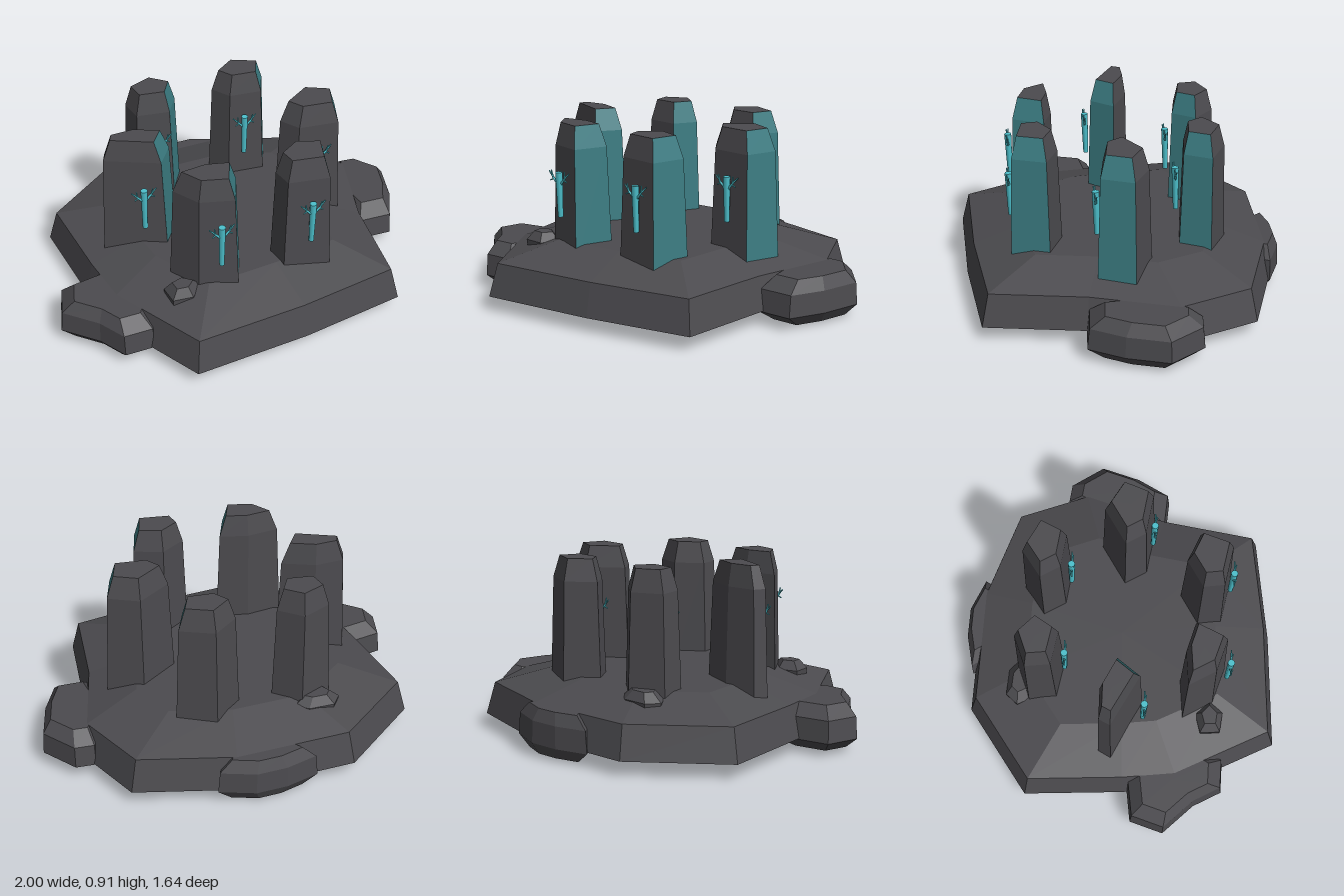
import * as THREE from 'three';

const stone = new THREE.MeshStandardMaterial({ color: 0x4c4b4f });
stone.name = 'dark stone';
const teal = new THREE.MeshStandardMaterial({ color: 0x3c7d83 });
teal.name = 'teal face';
const glow = new THREE.MeshStandardMaterial({ color: 0x4cc0cc });
glow.name = 'bright teal';

// Faceted solid: an outline [x, z] scaled about its centre at rings of [y, scale].
// Triangles are written one side at a time, so each side can be its own group.
function loft(outline, rings) {
  const n = outline.length;
  const cx = outline.reduce((s, p) => s + p[0], 0) / n;
  const cz = outline.reduce((s, p) => s + p[1], 0) / n;
  const at = (i, [y, s]) => {
    const [x, z] = outline[i % n];
    return [cx + (x - cx) * s, y, cz + (z - cz) * s];
  };
  const pos = [];
  for (let i = 0; i < n; i++) {
    for (let r = 0; r < rings.length - 1; r++) {
      const a = at(i, rings[r]), b = at(i + 1, rings[r]);
      const c = at(i + 1, rings[r + 1]), d = at(i, rings[r + 1]);
      pos.push(...a, ...b, ...c, ...a, ...c, ...d);
    }
  }
  const low = rings[0], high = rings[rings.length - 1];
  for (let i = 0; i < n; i++) {
    pos.push(cx, high[0], cz, ...at(i, high), ...at(i + 1, high));
    pos.push(cx, low[0], cz, ...at(i + 1, low), ...at(i, low));
  }
  const g = new THREE.BufferGeometry();
  g.setAttribute('position', new THREE.Float32BufferAttribute(pos, 3));
  g.computeVertexNormals();
  return g;
}

function add(parent, name, geometry, material) {
  const m = new THREE.Mesh(geometry, material);
  m.name = name;
  parent.add(m);
  return m;
}

// Tapered round rod between two points
function rod(parent, name, from, to, r0, r1) {
  const a = new THREE.Vector3(...from), b = new THREE.Vector3(...to);
  const d = b.clone().sub(a);
  const m = add(parent, name, new THREE.CylinderGeometry(r1, r0, d.length(), 8), glow);
  m.position.copy(a).add(b).multiplyScalar(0.5);
  m.quaternion.setFromUnitVectors(new THREE.Vector3(0, 1, 0), d.normalize());
}

// Small tree emblem: a trunk with forked branches on both sides
function treeEmblem(x, z) {
  const g = new THREE.Group();
  g.name = 'treeEmblem';
  rod(g, 'trunk', [0, 0.46, 0], [0, 0.685, 0.006], 0.013, 0.018);
  for (const s of [-1, 1]) {
    rod(g, 'branch', [0, 0.615, 0.004], [s * 0.04, 0.66, 0.008], 0.007, 0.005);
    rod(g, 'twig', [s * 0.036, 0.655, 0.008], [s * 0.042, 0.692, 0.014], 0.005, 0.003);
    rod(g, 'twig', [s * 0.034, 0.655, 0.008], [s * 0.064, 0.685, 0.004], 0.005, 0.003);
    rod(g, 'twig', [s * 0.03, 0.65, 0.008], [s * 0.052, 0.64, 0.01], 0.004, 0.003);
  }
  g.position.set(x, 0, z);
  return g;
}

// Footprints start with the side that is painted teal
const pillars = [
  { emblem: [-0.265, -0.272], foot: [[-0.19, -0.28], [-0.11, -0.41], [-0.23, -0.52], [-0.40, -0.45], [-0.38, -0.31]] },
  { emblem: [0.205, -0.272], foot: [[0.32, -0.28], [0.39, -0.43], [0.21, -0.52], [0.06, -0.41], [0.13, -0.30]] },
  { emblem: [-0.5, 0.135], foot: [[-0.385, 0.13], [-0.29, 0], [-0.47, -0.085], [-0.64, -0.08], [-0.67, -0.015]] },
  { emblem: [0.44, 0.135], foot: [[0.56, 0.14], [0.625, -0.04], [0.46, -0.13], [0.26, 0], [0.33, 0.11]] },
  { emblem: [-0.265, 0.545], foot: [[-0.175, 0.54], [-0.095, 0.36], [-0.26, 0.315], [-0.45, 0.335], [-0.36, 0.485]] },
  { emblem: [0.205, 0.545], foot: [[0.31, 0.55], [0.37, 0.36], [0.21, 0.295], [0.06, 0.39], [0.08, 0.51]] },
];

const sideRocks = {
  leftwardRock: [[-1, 0.27], [-0.85, 0.42], [-0.77, 0.56], [-0.62, 0.56], [-0.5, 0.35], [-0.62, 0.1], [-0.73, 0.065], [-0.95, 0.1]],
  rightwardRock: [[0.64, -0.1], [0.67, 0.2], [0.85, 0.21], [0.94, 0.04], [1, -0.17], [0.88, -0.34], [0.78, -0.35]],
  backRock: [[-0.21, -0.78], [-0.14, -0.68], [0.08, -0.6], [0.24, -0.66], [0.29, -0.75], [0.12, -0.82], [-0.04, -0.82]],
};

const looseRocks = [
  [[-0.43, -0.51], [-0.38, -0.42], [-0.24, -0.44], [-0.19, -0.52], [-0.25, -0.565], [-0.38, -0.57]],
  [[-0.52, 0.43], [-0.51, 0.53], [-0.41, 0.54], [-0.34, 0.47], [-0.42, 0.4]],
];

export function createModel() {
  const model = new THREE.Group();
  model.name = 'stoneCircle';

  // Wide faceted slab
  const outline = [[-0.84, -0.45], [-0.80, 0.05], [-0.76, 0.33], [-0.5, 0.82], [0.09, 0.78], [0.63, 0.70],
    [0.70, 0.2], [0.83, -0.25], [0.68, -0.62], [0.2, -0.77], [-0.41, -0.77]];
  add(model, 'base', loft(outline, [[0, 0.7], [0.075, 1], [0.24, 0.95], [0.325, 0.62]]), stone);

  // Boulders around the rim
  for (const [name, pts] of Object.entries(sideRocks)) {
    add(model, name, loft(pts, [[0.015, 0.72], [0.07, 1], [0.18, 0.96], [0.24, 0.7]]), stone);
  }

  // Stones lying on the slab
  for (const pts of looseRocks) {
    add(model, 'looseRock', loft(pts, [[0.22, 0.9], [0.3, 1], [0.345, 0.55]]), stone);
  }

  // Standing stones, each with one teal side and an emblem on the front
  const rings = [[0.22, 1.02], [0.8, 0.88], [0.91, 0.66]];
  for (const { emblem, foot } of pillars) {
    const g = new THREE.Group();
    g.name = 'standingStone';
    const geo = loft(foot, rings);
    const sideCount = (rings.length - 1) * 6;
    geo.addGroup(0, sideCount, 1);
    geo.addGroup(sideCount, geo.attributes.position.count - sideCount, 0);
    add(g, 'pillar', geo, [stone, teal]);
    g.add(treeEmblem(...emblem));
    model.add(g);
  }
  return model;
}
